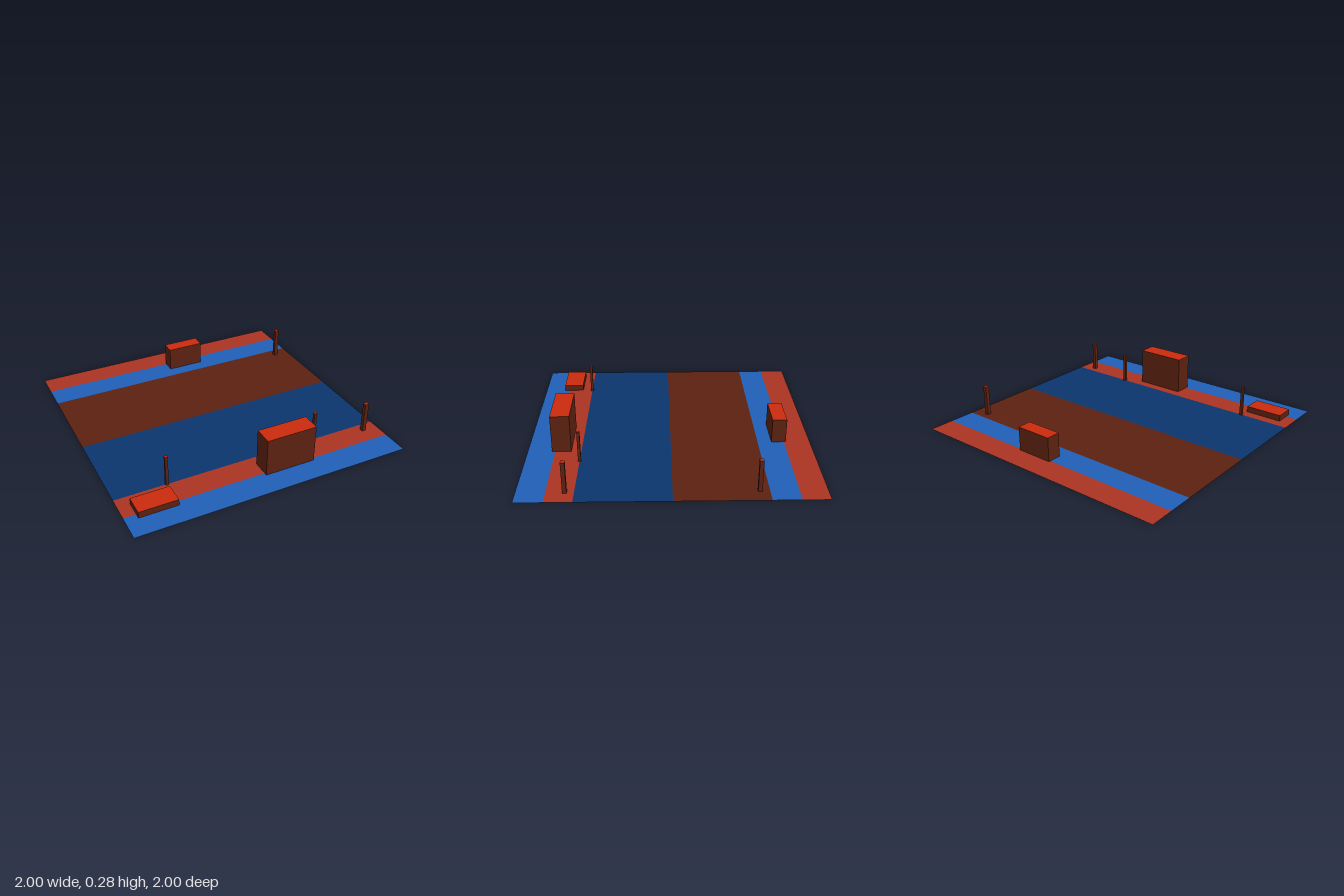
import * as THREE from 'three';

export function createModel() {
  const model = new THREE.Group();
  model.name = 'street';

  const paint = (name, color, side = THREE.FrontSide) => {
    const m = new THREE.MeshStandardMaterial({ color, side });
    m.name = name;
    return m;
  };
  const brick = paint('brick red', 0xab3423, THREE.DoubleSide);
  const blue = paint('blue', 0x205fb6, THREE.DoubleSide);
  const brown = paint('brown', 0x5c2110, THREE.DoubleSide);
  const navy = paint('navy', 0x0b356d, THREE.DoubleSide);
  const red = paint('bright red', 0xca2b0e);

  // Ground: flat bands running across x, from back to front
  const bands = [
    ['backVerge', -1, -0.815, brick],
    ['backPavement', -0.815, -0.626, blue],
    ['backLane', -0.626, -0.003, brown],
    ['frontLane', -0.003, 0.625, navy],
    ['frontPavement', 0.625, 0.808, brick],
    ['frontVerge', 0.808, 1, blue],
  ];
  for (const [name, z0, z1, material] of bands) {
    const band = new THREE.Mesh(new THREE.PlaneGeometry(2, z1 - z0).rotateX(-Math.PI / 2), material);
    band.name = name;
    band.position.z = (z0 + z1) / 2;
    model.add(band);
  }

  // Blocks and posts: brown walls with bright red top and bottom
  const faces = [brown, brown, red, red, brown, brown];
  const addBlock = (name, x0, x1, z0, z1, height) => {
    const sink = 0.001; // keeps the base clear of the ground plane
    const block = new THREE.Mesh(new THREE.BoxGeometry(x1 - x0, height + sink, z1 - z0), faces);
    block.name = name;
    block.position.set((x0 + x1) / 2, (height - sink) / 2, (z0 + z1) / 2);
    model.add(block);
  };
  addBlock('tallBlock', 0, 0.37, 0.695, 0.83, 0.275);
  addBlock('backBlock', -0.015, 0.258, -0.828, -0.725, 0.175);
  addBlock('lowBlock', -0.912, -0.638, 0.7, 0.847, 0.045);

  const posts = [
    ['frontPost', 0.885, 0.685, 0.028],
    ['backPost', 0.885, -0.562, 0.028],
    ['rightKerbPost', -0.628, 0.625, 0.02],
    ['leftKerbPost', 0.497, 0.625, 0.02],
  ];
  for (const [name, x, z, w] of posts) {
    addBlock(name, x - w / 2, x + w / 2, z - w / 2, z + w / 2, 0.226);
  }

  return model;
}
